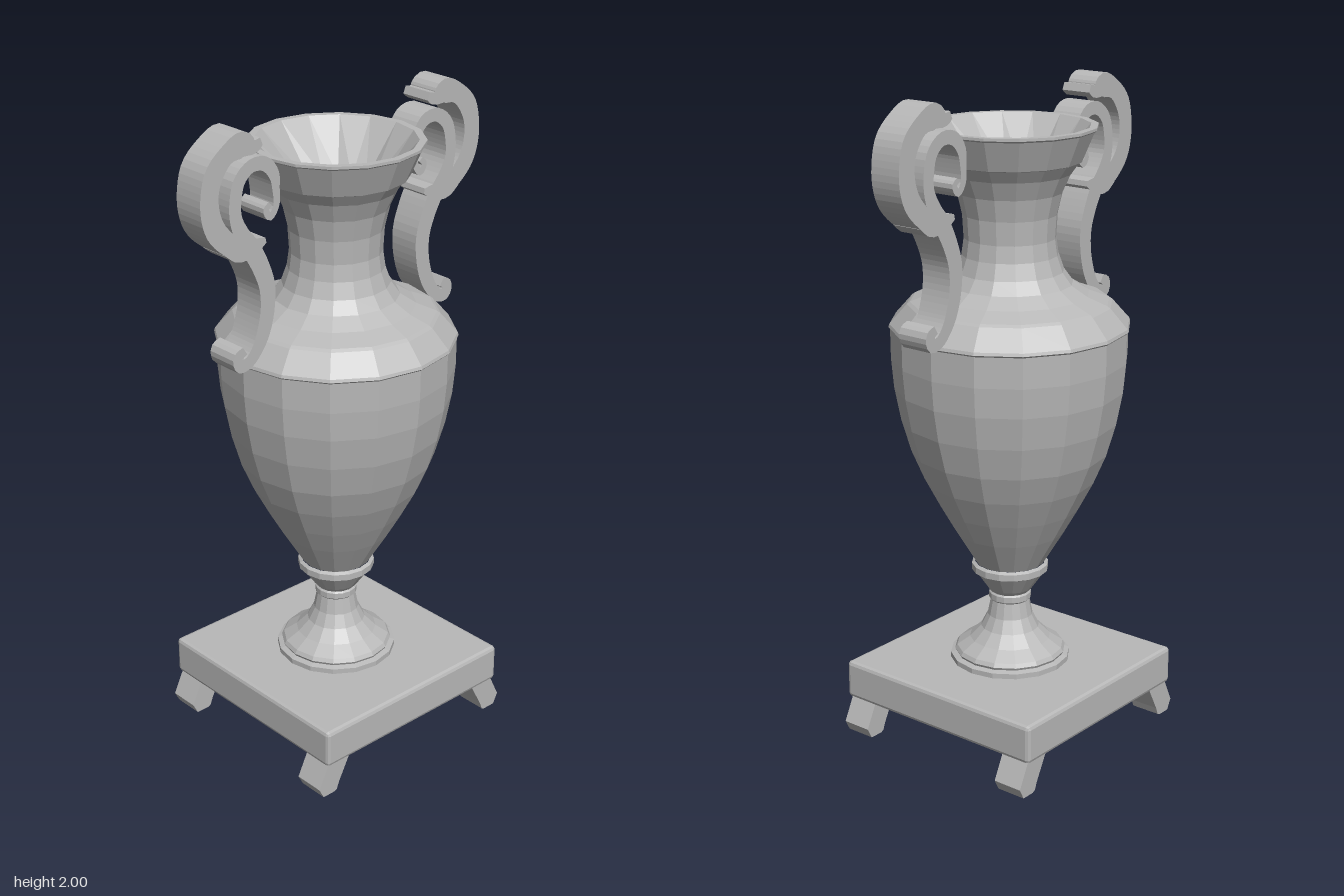
import * as THREE from 'three';
import { RoundedBoxGeometry } from 'three/addons/geometries/RoundedBoxGeometry.js';

const stone = new THREE.MeshStandardMaterial({ color: 0xb8b8b8, flatShading: true });
stone.name = 'grey stone';

const SIDES = 16;
const HANDLE_DEPTH = 0.1;

function part(name, geometry, parent) {
  const mesh = new THREE.Mesh(geometry, stone);
  mesh.name = name;
  parent.add(mesh);
  return mesh;
}

function lathe(profile) {
  return new THREE.LatheGeometry(profile.map(([r, y]) => new THREE.Vector2(r, y)), SIDES);
}

// Extrude a closed outline along z, centred on z = 0
function slab(points, depth) {
  const geometry = new THREE.ExtrudeGeometry(new THREE.Shape(points), { depth, bevelEnabled: false });
  return geometry.translate(0, 0, -depth / 2);
}

// Flat scroll following a path of [x, y, half width]
function ribbon(path, samples) {
  const curve = new THREE.CatmullRomCurve3(path.map(p => new THREE.Vector3(...p)));
  const left = [], right = [];
  for (let i = 0; i <= samples; i++) {
    const p = curve.getPoint(i / samples);
    const t = curve.getTangent(i / samples);
    const len = Math.hypot(t.x, t.y) || 1;
    const nx = -t.y / len * p.z, ny = t.x / len * p.z;
    left.push(new THREE.Vector2(p.x + nx, p.y + ny));
    right.unshift(new THREE.Vector2(p.x - nx, p.y - ny));
  }
  return slab([...left, ...right], HANDLE_DEPTH);
}

function createHandle(name) {
  const handle = new THREE.Group();
  handle.name = name;
  // Outer leaf with a horned tip
  part('handleLeaf', ribbon([
    [0.315, 1.958, 0.012], [0.34, 1.948, 0.02], [0.383, 1.962, 0.037], [0.435, 1.945, 0.03],
    [0.478, 1.902, 0.033], [0.496, 1.85, 0.031], [0.496, 1.792, 0.032], [0.478, 1.74, 0.033],
    [0.44, 1.697, 0.031], [0.404, 1.67, 0.026], [0.36, 1.65, 0.015],
  ], 36), handle);
  // Inner curl, arch, stem and lower curl
  part('handleScroll', ribbon([
    [0.288, 1.776, 0.008], [0.303, 1.76, 0.01], [0.288, 1.738, 0.011], [0.266, 1.765, 0.011],
    [0.266, 1.813, 0.013], [0.272, 1.855, 0.018], [0.303, 1.892, 0.02], [0.351, 1.897, 0.02],
    [0.393, 1.865, 0.021], [0.409, 1.813, 0.021], [0.409, 1.76, 0.021], [0.388, 1.707, 0.026],
    [0.356, 1.66, 0.03], [0.325, 1.602, 0.029], [0.303, 1.538, 0.028], [0.303, 1.47, 0.026],
    [0.319, 1.406, 0.025], [0.34, 1.364, 0.022], [0.372, 1.33, 0.02], [0.404, 1.325, 0.02],
    [0.412, 1.353, 0.018], [0.388, 1.368, 0.014],
  ], 72), handle);
  // Pointed collar where leaf and stem meet
  part('handleCollar', ribbon([
    [0.445, 1.668, 0.006], [0.4, 1.655, 0.022], [0.35, 1.665, 0.025], [0.305, 1.675, 0.008],
  ], 8), handle);
  return handle;
}

// Funnel mouth narrowing from sixteen sides to eight
function createMouth() {
  const profile = [[0.235, 1.888], [0.115, 1.74], [0, 1.66]];
  const geometry = lathe(profile);
  const pos = geometry.attributes.position;
  for (let i = 0; i <= SIDES; i++) {
    if (i % 2 === 0) continue;
    const v = i * profile.length + 1;
    const k = Math.cos(Math.PI / 8);
    pos.setXYZ(v, pos.getX(v) * k, pos.getY(v), pos.getZ(v) * k);
  }
  return geometry;
}

export function createModel() {
  const model = new THREE.Group();
  model.name = 'urn';

  // Square plinth
  part('plinth', new RoundedBoxGeometry(0.72, 0.12, 0.72, 1, 0.012), model).position.y = 0.167;

  // Splayed feet
  const footOutline = [
    [0.26, 0.115], [0.305, 0.03], [0.315, 0.005], [0.325, 0], [0.368, 0], [0.385, 0.033], [0.345, 0.115],
  ].map(p => new THREE.Vector2(...p));
  for (const turn of [0, Math.PI]) {
    for (const z of [-0.302, 0.302]) {
      const foot = part('foot', slab(footOutline, 0.095), model);
      foot.rotation.y = turn;
      foot.position.z = z;
    }
  }

  // Pedestal with its rings
  part('pedestal', lathe([
    [0.185, 0.225], [0.185, 0.243], [0.168, 0.248], [0.172, 0.256], [0.165, 0.268], [0.125, 0.295],
    [0.09, 0.33], [0.07, 0.37], [0.06, 0.42], [0.065, 0.425], [0.065, 0.443], [0.06, 0.448],
    [0.07, 0.46], [0.108, 0.515], [0.118, 0.52], [0.118, 0.54], [0.108, 0.546],
  ]), model);

  // Belly
  part('belly', lathe([
    [0.105, 0.545], [0.168, 0.65], [0.213, 0.73], [0.26, 0.82], [0.298, 0.91], [0.327, 1.01],
    [0.346, 1.11], [0.354, 1.2], [0.355, 1.292], [0.36, 1.297], [0.357, 1.306], [0.305, 1.365],
  ]), model);

  // Shoulder, neck and flared rim
  part('neck', lathe([
    [0.305, 1.365], [0.295, 1.372], [0.235, 1.395], [0.187, 1.425], [0.16, 1.462], [0.143, 1.51],
    [0.136, 1.56], [0.14, 1.63], [0.155, 1.695], [0.18, 1.75], [0.205, 1.785], [0.213, 1.788],
    [0.25, 1.875], [0.257, 1.88], [0.257, 1.888], [0.235, 1.888],
  ]), model);
  part('mouth', createMouth(), model);

  // Scroll handles on both sides
  model.add(createHandle('leftHandle'));
  const right = createHandle('rightHandle');
  right.rotation.y = Math.PI;
  model.add(right);

  return model;
}
